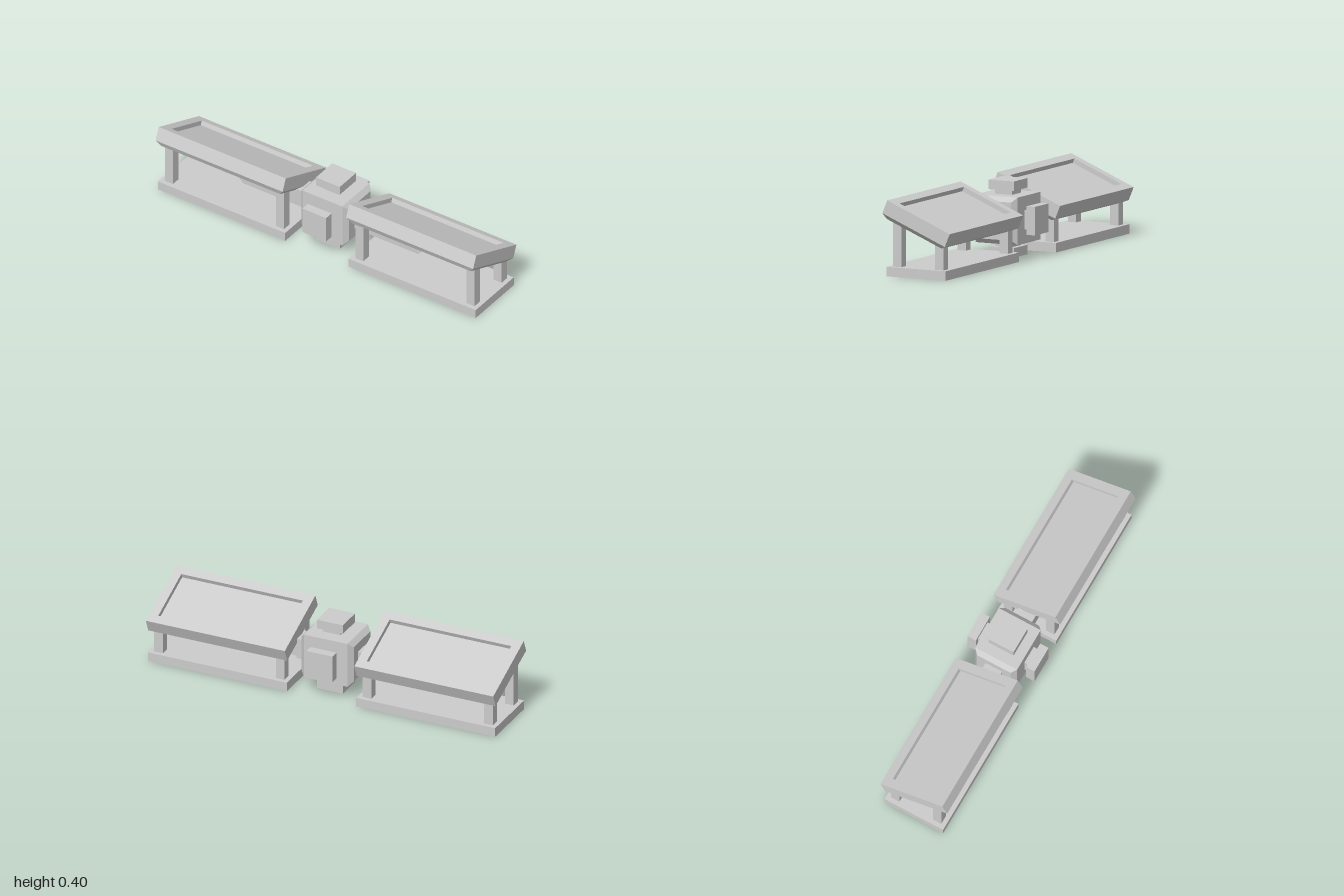
import * as THREE from 'three';

const material = new THREE.MeshStandardMaterial({ color: 0xcccccc, flatShading: true });

function addMesh(parent, name, geometry, x = 0, y = 0, z = 0) {
  const mesh = new THREE.Mesh(geometry, material);
  mesh.name = name;
  mesh.position.set(x, y, z);
  parent.add(mesh);
  return mesh;
}

const addBox = (parent, name, size, position) =>
  addMesh(parent, name, new THREE.BoxGeometry(...size), ...position);

// Closed solid through rectangular rings [halfX, halfZ, y], listed from the bottom on
function loftRectangles(rings) {
  const corners = [[1, 1], [1, -1], [-1, -1], [-1, 1]];
  const positions = rings.flatMap(([hx, hz, y]) =>
    corners.flatMap(([sx, sz]) => [sx * hx, y, sz * hz]));
  const index = [0, 2, 1, 0, 3, 2];
  for (let r = 0; r < rings.length - 1; r++) {
    for (let i = 0; i < 4; i++) {
      const a = r * 4 + i, b = r * 4 + (i + 1) % 4;
      index.push(a, b, b + 4, a, b + 4, a + 4);
    }
  }
  const t = (rings.length - 1) * 4;
  index.push(t, t + 1, t + 2, t, t + 2, t + 3);
  const geometry = new THREE.BufferGeometry();
  geometry.setAttribute('position', new THREE.Float32BufferAttribute(positions, 3));
  geometry.setIndex(index);
  const flat = geometry.toNonIndexed();
  flat.computeVertexNormals();
  return flat;
}

// Cube with tapered left and right ends, plus a necked plate on its other four faces
function createHub() {
  const hub = new THREE.Group();
  hub.name = 'hub';
  const core = loftRectangles([
    [0.1, 0.1, -0.15], [0.125, 0.125, -0.125], [0.125, 0.125, 0.125], [0.1, 0.1, 0.15],
  ]);
  core.rotateZ(-Math.PI / 2);
  addMesh(hub, 'hubCore', core);
  ['top', 'front', 'bottom', 'back'].forEach((face, i) => {
    const port = new THREE.Group();
    port.name = face + 'Port';
    port.rotation.x = i * Math.PI / 2;
    addBox(port, 'portNeck', [0.1, 0.03, 0.1], [0, 0.137, 0]);
    addBox(port, 'portPlate', [0.15, 0.05, 0.15], [0, 0.175, 0]);
    hub.add(port);
  });
  hub.position.y = 0.2;
  return hub;
}

// Connecting arm with an undercut outer end
function createArmGeometry() {
  const profile = new THREE.Shape([
    new THREE.Vector2(0.14, 0.15), new THREE.Vector2(0.55, 0.15),
    new THREE.Vector2(0.65, 0.25), new THREE.Vector2(0.14, 0.25),
  ]);
  const geometry = new THREE.ExtrudeGeometry(profile, { depth: 0.1, bevelEnabled: false });
  return geometry.translate(0, 0, -0.05);
}

// Base, four posts and a tilted tray with a shallow recess
function createPanelUnit(side) {
  const unit = new THREE.Group();
  unit.name = side > 0 ? 'leftPanelUnit' : 'rightPanelUnit';
  const centre = side * 0.6;
  addBox(unit, 'base', [0.8, 0.05, 0.35], [centre, 0.025, 0]);

  for (const sx of [-1, 1]) {
    for (const [name, z, top] of [['frontPost', 0.125, 0.285], ['backPost', -0.125, 0.185]]) {
      const height = top - 0.04;
      addBox(unit, name, [0.05, height, 0.05], [centre + sx * 0.35, 0.04 + height / 2, z]);
    }
  }

  const tray = addMesh(unit, 'panelTray', loftRectangles([
    [0.375, 0.175, -0.0625], [0.4, 0.2, -0.0375], [0.4, 0.2, 0.0375],
    [0.35, 0.15, 0.0375], [0.35, 0.15, 0.0125],
  ]), centre, 0.288, 0);
  tray.rotation.x = -Math.PI / 8;

  const arm = addMesh(unit, 'arm', createArmGeometry());
  if (side < 0) arm.rotation.y = Math.PI;
  return unit;
}

export function createModel() {
  const model = new THREE.Group();
  model.name = 'twinPanelRig';
  model.add(createHub(), createPanelUnit(1), createPanelUnit(-1));
  return model;
}
